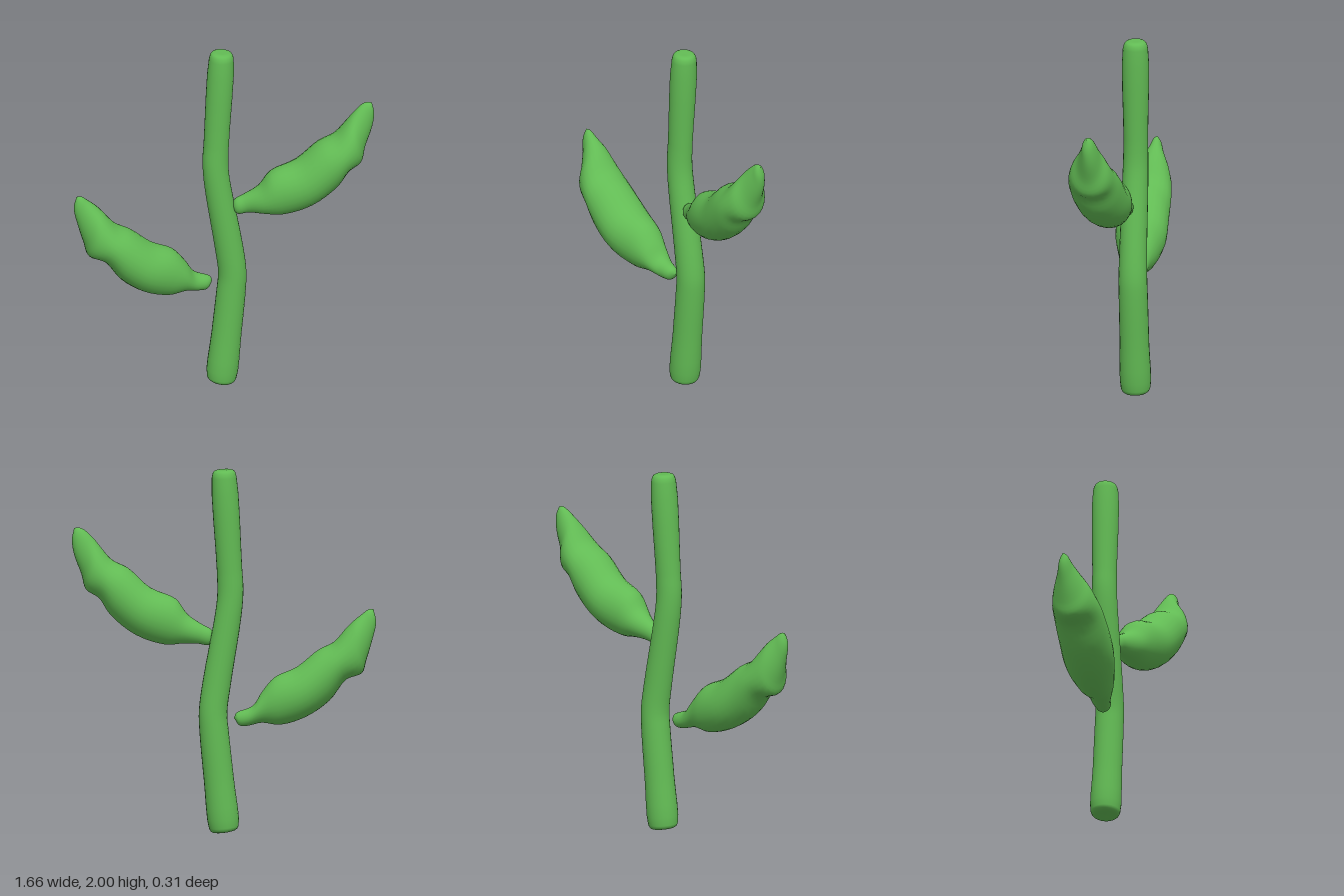
import * as THREE from 'three';

const green = new THREE.MeshStandardMaterial({ color: 0x62bb54 });
green.name = 'leafGreen';

// Smooth closed loft through oval sections.
// Section: [edge A x, y, edge B x, y, back z, front z]; a zero-size section closes an end.
function loft(name, sections, sub, sides) {
  const edgeA = new THREE.CatmullRomCurve3(sections.map(s => new THREE.Vector3(s[0], s[1], s[4])));
  const edgeB = new THREE.CatmullRomCurve3(sections.map(s => new THREE.Vector3(s[2], s[3], s[5])));
  const rings = (sections.length - 1) * sub;
  const pos = [], index = [];
  for (let i = 0; i <= rings; i++) {
    const a = edgeA.getPoint(i / rings), b = edgeB.getPoint(i / rings);
    for (let j = 0; j < sides; j++) {
      const t = j / sides * Math.PI * 2, c = Math.cos(t) / 2, s = Math.sin(t) / 2;
      pos.push(
        (a.x + b.x) / 2 + c * (a.x - b.x),
        (a.y + b.y) / 2 + c * (a.y - b.y),
        (a.z + b.z) / 2 + s * (b.z - a.z));
      if (i === rings) continue;
      const p = i * sides + j, q = i * sides + (j + 1) % sides;
      index.push(p, q, p + sides, q, q + sides, p + sides);
    }
  }
  const geo = new THREE.BufferGeometry();
  geo.setAttribute('position', new THREE.Float32BufferAttribute(pos, 3));
  geo.setIndex(index);
  geo.computeVertexNormals();
  const mesh = new THREE.Mesh(geo, green);
  mesh.name = name;
  return mesh;
}

export function createModel() {
  const group = new THREE.Group();
  group.name = 'plant';

  // Gently zigzagging stem with softly rounded ends
  group.add(loft('stem', [
    [0, 0.012, 0, 0.012, -0.07, -0.07],
    [-0.065, 0.016, 0.06, 0.002, -0.135, -0.005],
    [-0.084, 0.04, 0.078, 0.025, -0.152, 0.01],
    [-0.058, 0.3, 0.106, 0.29, -0.151, 0.01],
    [-0.03, 0.56, 0.13, 0.56, -0.15, 0.009],
    [-0.022, 0.66, 0.133, 0.67, -0.148, 0.009],
    [-0.042, 0.82, 0.113, 0.83, -0.142, 0.009],
    [-0.1, 1.2, 0.044, 1.21, -0.134, 0.008],
    [-0.11, 1.34, 0.033, 1.31, -0.131, 0.006],
    [-0.103, 1.46, 0.035, 1.44, -0.131, 0.003],
    [-0.073, 1.96, 0.063, 1.955, -0.138, 0],
    [-0.058, 1.997, 0.05, 1.992, -0.122, -0.016],
    [-0.002, 2, -0.002, 2, -0.069, -0.069],
  ], 4, 24));

  // Upper leaf, on the model's left
  group.add(loft('upperLeaf', [
    [0.05, 1.07, 0.05, 1.07, -0.04, -0.04],
    [0.065, 1.115, 0.078, 1.03, -0.075, -0.005],
    [0.11, 1.14, 0.14, 1.037, -0.085, 0.012],
    [0.195, 1.195, 0.22, 1.035, -0.1, 0.065],
    [0.26, 1.28, 0.32, 1.028, -0.122, 0.1],
    [0.4, 1.34, 0.48, 1.08, -0.138, 0.135],
    [0.52, 1.445, 0.62, 1.19, -0.13, 0.152],
    [0.61, 1.49, 0.68, 1.28, -0.115, 0.15],
    [0.67, 1.56, 0.75, 1.325, -0.095, 0.125],
    [0.71, 1.61, 0.775, 1.41, -0.06, 0.08],
    [0.76, 1.657, 0.815, 1.52, -0.038, 0.045],
    [0.79, 1.669, 0.827, 1.6, -0.02, 0.03],
    [0.815, 1.665, 0.815, 1.665, 0.006, 0.006],
  ], 4, 24));

  // Lower leaf, on the model's right
  group.add(loft('lowerLeaf', [
    [-0.058, 0.63, -0.058, 0.63, -0.05, -0.05],
    [-0.09, 0.587, -0.075, 0.66, -0.08, -0.01],
    [-0.13, 0.585, -0.16, 0.695, -0.09, 0.015],
    [-0.21, 0.6, -0.21, 0.77, -0.1, 0.06],
    [-0.31, 0.588, -0.28, 0.85, -0.125, 0.1],
    [-0.45, 0.63, -0.4, 0.905, -0.14, 0.145],
    [-0.58, 0.72, -0.52, 1.0, -0.127, 0.156],
    [-0.67, 0.835, -0.6, 1.04, -0.118, 0.152],
    [-0.755, 0.87, -0.67, 1.12, -0.1, 0.125],
    [-0.778, 0.94, -0.71, 1.16, -0.08, 0.09],
    [-0.81, 1.05, -0.76, 1.2, -0.042, 0.05],
    [-0.832, 1.15, -0.79, 1.222, -0.02, 0.03],
    [-0.818, 1.223, -0.818, 1.223, 0.005, 0.005],
  ], 4, 24));

  return group;
}
